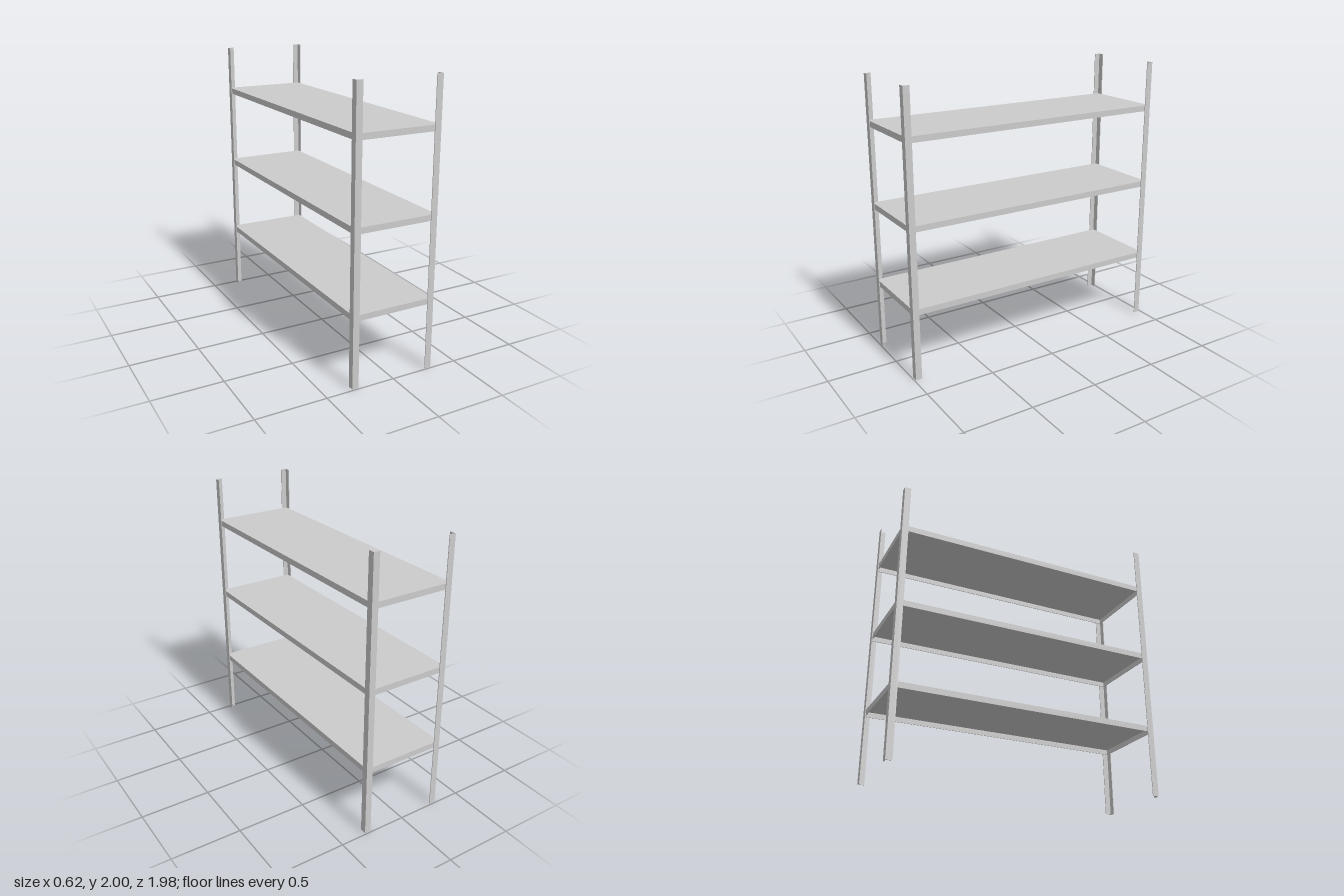
import * as THREE from 'three';

const HALF_X = 0.308, HALF_Z = 0.99; // outer half width and half depth
const HEIGHT = 2, FLANGE = 0.046, SHEET = 0.005;
const SHELF_TOPS = [0.517, 1.1, 1.685], LIP = 0.042;

export function createModel() {
  const model = new THREE.Group();
  model.name = 'shelvingRack';
  const material = new THREE.MeshStandardMaterial({ color: 0xcccccc, flatShading: true });

  const add = (parent, name, geometry, x = 0, y = 0, z = 0) => {
    const mesh = new THREE.Mesh(geometry, material);
    mesh.name = name;
    mesh.position.set(x, y, z);
    parent.add(mesh);
    return mesh;
  };

  // Corner posts: L-shaped angle section, extruded upwards, elbow at the outer corner
  const angle = new THREE.Shape([
    [0, 0], [FLANGE, 0], [FLANGE, SHEET], [SHEET, SHEET], [SHEET, FLANGE], [0, FLANGE],
  ].map(([x, y]) => new THREE.Vector2(x, y)));
  const postGeometry = new THREE.ExtrudeGeometry(angle, { depth: HEIGHT, bevelEnabled: false });
  postGeometry.rotateX(-Math.PI / 2); // section now opens towards +x and -z
  const corners = [
    ['frontRightPost', -1, 1, 0], ['frontLeftPost', 1, 1, Math.PI / 2],
    ['backLeftPost', 1, -1, Math.PI], ['backRightPost', -1, -1, -Math.PI / 2],
  ];
  for (const [name, sx, sz, turn] of corners) {
    add(model, name, postGeometry, sx * HALF_X, 0, sz * HALF_Z).rotation.y = turn;
  }

  // Shelves: thin trays with a folded-down lip on all four sides, open below
  const w = 2 * (HALF_X - SHEET), d = 2 * (HALF_Z - SHEET);
  const panel = new THREE.BoxGeometry(w, SHEET, d);
  const lipHeight = LIP - SHEET;
  const endLip = new THREE.BoxGeometry(w, lipHeight, SHEET);
  const sideLip = new THREE.BoxGeometry(SHEET, lipHeight, d - 2 * SHEET);
  SHELF_TOPS.forEach((top, i) => {
    const shelf = new THREE.Group();
    shelf.name = `shelf${i + 1}`;
    shelf.position.y = top;
    add(shelf, 'shelfPanel', panel, 0, -SHEET / 2, 0);
    const lipY = -SHEET - lipHeight / 2;
    for (const s of [-1, 1]) {
      add(shelf, s > 0 ? 'frontLip' : 'backLip', endLip, 0, lipY, s * (d - SHEET) / 2);
      add(shelf, s > 0 ? 'leftLip' : 'rightLip', sideLip, s * (w - SHEET) / 2, lipY, 0);
    }
    model.add(shelf);
  });

  return model;
}
